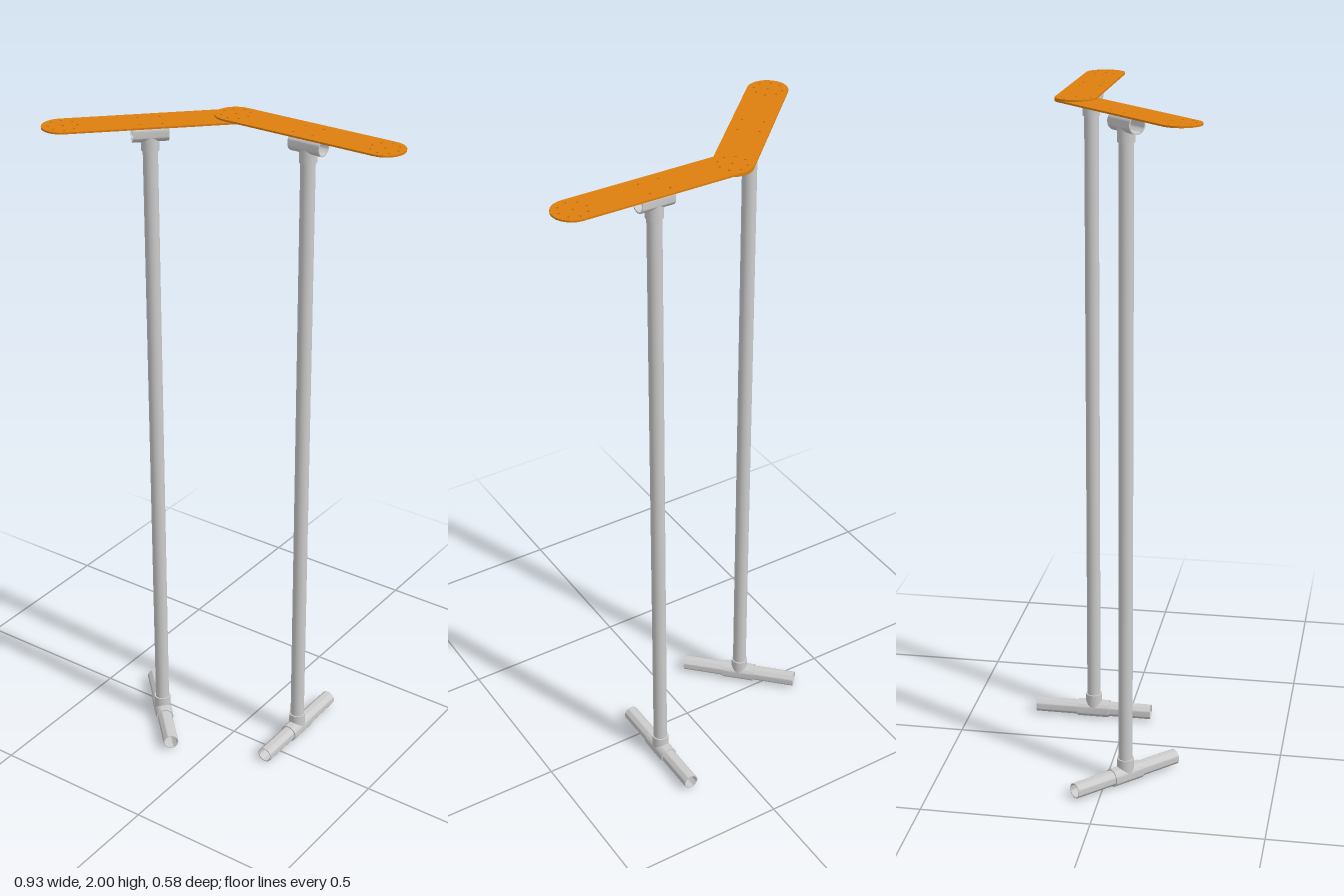
import * as THREE from 'three';
import { toCreasedNormals } from 'three/addons/utils/BufferGeometryUtils.js';

const grey = new THREE.MeshStandardMaterial({ color: 0xcccccc });
const orange = new THREE.MeshStandardMaterial({ color: 0xdd7f0e });

const FOOT_Y = 0.027, TOP_Y = 1.963;   // heights of the two tee axes
const TEE_R = 0.027, SLEEVE_R = 0.025, POLE_R = 0.021, TEE_REACH = 0.052;

function mesh(name, geometry, material = grey) {
  const m = new THREE.Mesh(geometry, material);
  m.name = name;
  return m;
}

function circleHole(x, y, r) {
  return new THREE.Path().absarc(x, y, r, 0, Math.PI * 2, true);
}

// Hollow pipe along z, centred on the origin
function pipe(outer, inner, length) {
  const ring = new THREE.Shape().absarc(0, 0, outer, 0, Math.PI * 2, false);
  ring.holes.push(circleHole(0, 0, inner));
  const g = new THREE.ExtrudeGeometry(ring, { depth: length, bevelEnabled: false, curveSegments: 18 });
  g.translate(0, 0, -length / 2);
  return toCreasedNormals(g, Math.PI / 5);
}

// Tee fitting: open header along z with a sleeve pointing up
function tee(name) {
  const group = new THREE.Group();
  group.name = name;
  group.add(mesh('teeHeader', pipe(TEE_R, 0.0232, 0.1)));

  // lower rim of the sleeve follows the curve of the header
  const sleeve = new THREE.CylinderGeometry(SLEEVE_R, SLEEVE_R, TEE_REACH, 36, 1, true);
  sleeve.translate(0, TEE_REACH / 2, 0);
  const p = sleeve.attributes.position;
  for (let i = 0; i < p.count; i++) {
    if (p.getY(i) < 0.001) p.setY(i, Math.sqrt(TEE_R ** 2 - p.getX(i) ** 2) - 0.001);
  }
  group.add(mesh('teeSleeve', sleeve));

  const lip = new THREE.RingGeometry(POLE_R - 0.001, SLEEVE_R, 36);
  lip.rotateX(-Math.PI / 2).translate(0, TEE_REACH, 0);
  group.add(mesh('sleeveLip', lip));
  return group;
}

// Flat rounded plate along x, drilled at both ends and over the pole
function plate(bottomY) {
  const h = 0.2375, r = 0.058, hole = 0.0035;
  const s = new THREE.Shape();
  s.absarc(h, 0, r, -Math.PI / 2, Math.PI / 2, false);
  s.absarc(-h, 0, r, Math.PI / 2, Math.PI * 1.5, false);
  s.closePath();
  for (const side of [-1, 1]) {
    s.holes.push(circleHole(side * h, 0, hole));
    for (let i = 0; i < 8; i++) {
      const a = i * Math.PI / 4;
      s.holes.push(circleHole(side * h + 0.04 * Math.cos(a), 0.04 * Math.sin(a), hole));
    }
    for (const y of [-0.03, 0.03]) s.holes.push(circleHole(side * 0.03, y, hole));
  }
  const g = new THREE.ExtrudeGeometry(s, { depth: 0.005, bevelEnabled: false, curveSegments: 16 });
  g.rotateX(-Math.PI / 2).translate(0, bottomY, 0);
  return mesh('topPlate', toCreasedNormals(g, Math.PI / 5), orange);
}

// One support: foot pipe, tees, pole and plate
function stand(name, x, z, angle, plateY) {
  const group = new THREE.Group();
  group.name = name;

  const foot = mesh('footPipe', pipe(0.023, 0.0205, 0.365));
  foot.position.y = FOOT_Y;

  const lowerTee = tee('lowerTee');
  lowerTee.position.y = FOOT_Y;

  const upperTee = tee('upperTee');
  upperTee.position.y = TOP_Y;
  upperTee.rotation.set(Math.PI, Math.PI / 2, 0);

  const low = FOOT_Y + TEE_R, high = TOP_Y - TEE_R;
  const pole = mesh('pole', new THREE.CylinderGeometry(POLE_R, POLE_R, high - low, 36));
  pole.position.y = (low + high) / 2;

  group.add(foot, lowerTee, upperTee, pole, plate(plateY));
  group.position.set(x, 0, z);
  group.rotation.y = angle;
  return group;
}

export function createModel() {
  const model = new THREE.Group();
  model.name = 'jointedRailStand';
  model.add(stand('leftStand', 0.167, -0.109, 0, 1.995));
  model.add(stand('rightStand', -0.2385, 0.059, Math.PI / 4, 1.99));
  return model;
}
